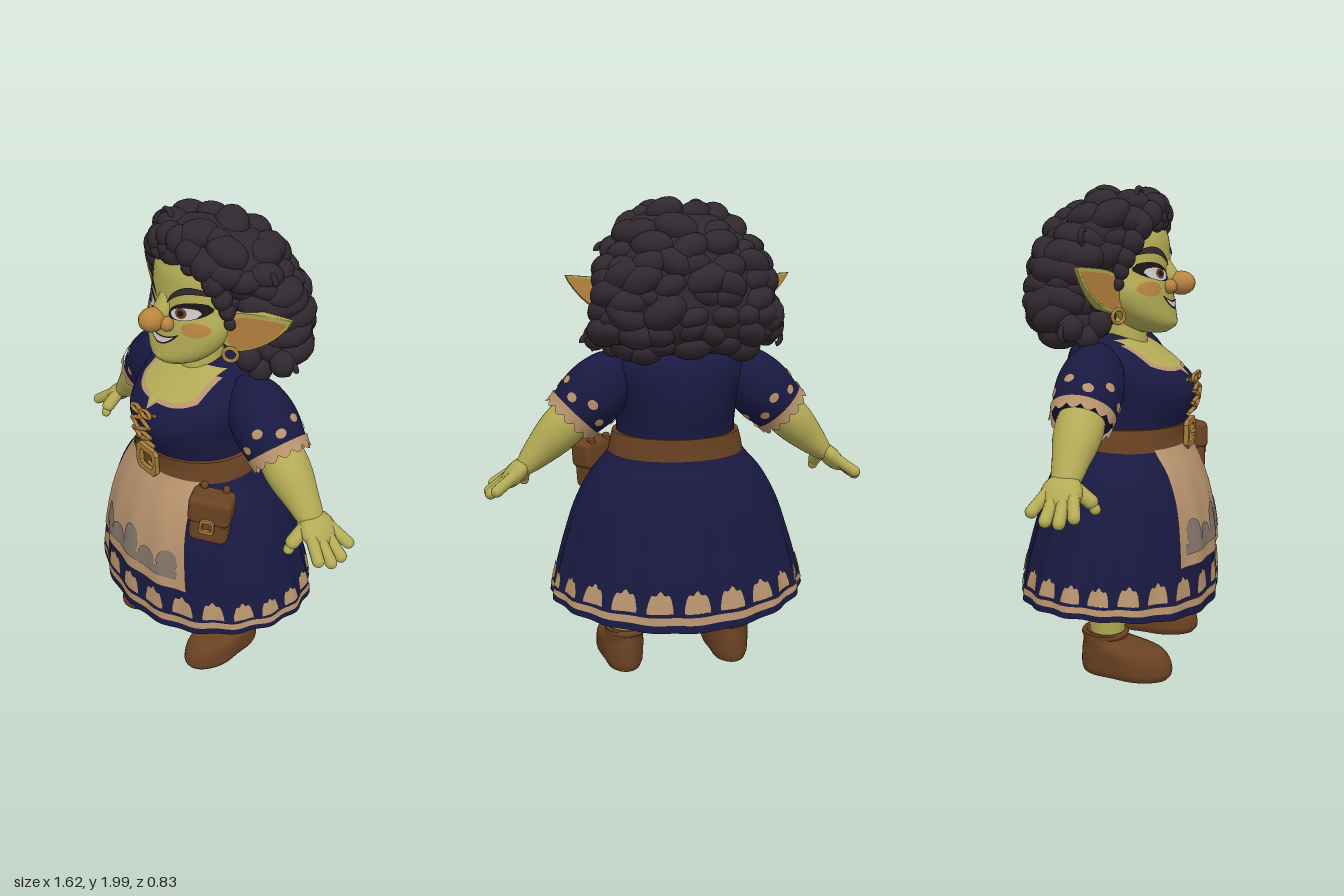
import * as THREE from 'three';
import { mergeVertices, mergeGeometries, toCreasedNormals } from 'three/addons/utils/BufferGeometryUtils.js';
import { RoundedBoxGeometry } from 'three/addons/geometries/RoundedBoxGeometry.js';

const mat = (name, color) => new THREE.MeshStandardMaterial({ name, color, side: THREE.DoubleSide });
const V = (x, y, z) => new THREE.Vector3(x, y, z);
const lerp = THREE.MathUtils.lerp;

// Surface with elliptical sections; each row is [y, half width, front z, back z]
function surface(rows, warp) {
  const spline = new THREE.CubicInterpolant(rows.map(r => r[0]), rows.flatMap(r => r.slice(1)), 3);
  const at = (a, y, off = 0) => {
    const [w, f, b] = spline.evaluate(y);
    const p = V(Math.sin(a) * (w + off), y, (f + b) / 2 + Math.cos(a) * ((f - b) / 2 + off));
    return warp ? warp(p, a) : p;
  };
  // the same surface addressed by x and y, front half only
  const front = (x, y, off) => at(Math.asin(THREE.MathUtils.clamp(x / spline.evaluate(y)[0], -1, 1)), y, off);
  return { at, front, y0: rows[0][0], y1: rows[rows.length - 1][0] };
}

// Bends a grid by fn(u in -1..1, v in 0..1)
function drape(fn, nu, nv) {
  const g = new THREE.PlaneGeometry(2, 1, nu, nv), p = g.attributes.position;
  for (let i = 0; i < p.count; i++) p.setXYZ(i, ...fn(p.getX(i), p.getY(i) + 0.5).toArray());
  g.deleteAttribute('uv');
  g.deleteAttribute('normal');
  return toCreasedNormals(mergeVertices(g, 1e-5), 0.9);
}

// Closed solid from a surface
function loft(s, nu = 40, nv = 20) {
  return drape((u, v) => {
    const j = Math.round(v * (nv + 2));
    const y = lerp(s.y0, s.y1, THREE.MathUtils.clamp((j - 1) / nv, 0, 1));
    if (j === 0 || j === nv + 2) return s.at(Math.PI / 2, y).add(s.at(-Math.PI / 2, y)).multiplyScalar(0.5);
    return s.at(u * Math.PI, y);
  }, nu, nv + 2);
}

// Thin painted patch between lo(u) and hi(u), centred on cx with half width hw(v)
const patch = (map, cx, hw, lo, hi, off, nu = 12, nv = 4) => drape((u, v) =>
  map(cx + u * (typeof hw === 'function' ? hw(v) : hw), lerp(lo(u), hi(u), v), off), nu, nv);
const arc = u => Math.sqrt(Math.max(0, 1 - u * u));
const oval = (map, cx, cy, rx, ry, off) =>
  patch(map, cx, rx, u => cy - ry * arc(u), u => cy + ry * arc(u), off, 14, 4);
const dome = (map, cx, y, hw, h, off) =>
  patch(map, cx, hw, () => y, u => y + h * (0.25 + 0.75 * arc(u)) * (1 - 0.1 * Math.cos(u * 9 + 3)), off, 14, 3);

function limb(a, b, r) {
  const d = b.clone().sub(a), g = new THREE.CapsuleGeometry(r, d.length(), 5, 12);
  g.applyQuaternion(new THREE.Quaternion().setFromUnitVectors(V(0, 1, 0), d.clone().normalize()));
  const m = a.clone().add(b).multiplyScalar(0.5);
  return g.translate(m.x, m.y, m.z);
}
const blob = (x, y, z, rx, ry = rx, rz = rx) => new THREE.SphereGeometry(1, 14, 10).scale(rx, ry, rz).translate(x, y, z);
const tube = (pts, r) => new THREE.TubeGeometry(new THREE.CatmullRomCurve3(pts), 14, r, 6);

export function createModel() {
  const skin = mat('skin', 0xb3ab55), navy = mat('dress cloth', 0x191942), tan = mat('linen', 0xb8936e),
    leather = mat('leather', 0x6a4222), hairMat = mat('hair', 0x30282f), gold = mat('gold', 0xa87c3c),
    blush = mat('blush', 0xb9843f), grey = mat('faded print', 0x84756a), white = mat('white', 0xd0ccc8),
    black = mat('dark line', 0x1c1518);
  const root = new THREE.Group();
  const add = (name, geo, m, parent = root) => {
    const mesh = new THREE.Mesh(geo, m);
    mesh.name = name;
    parent.add(mesh);
    return mesh;
  };

  // Skirt with folds and a hem that dips at front and back
  const skirt = surface([[0.35, 0.545, 0.41, -0.41], [0.45, 0.52, 0.4, -0.39], [0.6, 0.478, 0.383, -0.35],
    [0.75, 0.427, 0.355, -0.31], [0.87, 0.36, 0.315, -0.26], [0.95, 0.29, 0.28, -0.212], [1.0, 0.262, 0.265, -0.2]],
  (p, a) => {
    const fall = Math.max(0, 1 - (p.y - 0.35) / 0.25), k = 1 + 0.012 * Math.cos(a * 18) * Math.min(1, (1 - p.y) * 2.2);
    p.x *= k;
    p.z *= k;
    p.y -= (Math.cos(a) > 0 ? 0.075 : 0.055) * Math.cos(a) ** 2 * fall * fall;
    return p;
  });
  add('skirt', loft(skirt, 144, 26), navy);
  add('hemStripe', patch(skirt.at, 0, Math.PI, () => 0.373, () => 0.396, 0.004, 144, 1), tan);
  const hem = [];
  for (let i = 0; i < 22; i++) hem.push(dome(skirt.at, (i / 22) * Math.PI * 2, 0.407, 0.1, 0.066, 0.005));
  add('hemMotifs', mergeGeometries(hem), tan);

  // Apron with a faded print along its bottom
  add('apron', patch(skirt.front, 0, v => lerp(0.295, 0.215, v), u => 0.502 + 0.008 * u * u, () => 0.96, 0.013, 48, 20), tan);
  const print = [patch(skirt.front, 0, 0.25, () => 0.55, () => 0.59, 0.017, 40, 2)];
  for (const [x, h] of [[-0.19, 0.1], [-0.1, 0.06], [0, 0.12], [0.1, 0.06], [0.2, 0.09]])
    print.push(oval(skirt.front, x, 0.57 + h / 2, 0.046, h / 2 + 0.014, 0.018));
  add('apronPrint', mergeGeometries(print), grey);

  // Bodice, neckline and lacing
  const bodice = surface([[0.98, 0.255, 0.258, -0.2], [1.05, 0.25, 0.282, -0.205], [1.12, 0.255, 0.312, -0.22],
    [1.19, 0.27, 0.315, -0.226], [1.25, 0.285, 0.265, -0.222], [1.3, 0.29, 0.195, -0.212], [1.35, 0.26, 0.12, -0.19],
    [1.385, 0.17, 0.06, -0.15], [1.4, 0.09, 0.03, -0.1]]);
  add('bodice', loft(bodice, 48, 26), navy);
  const neckLow = u => 1.27 + 0.03 * u ** 4 - 0.03 * Math.max(0, 1 - Math.abs(u) * 7);
  add('necklineTrim', patch(bodice.front, 0, 0.176, u => neckLow(u) - 0.013, () => 1.365, 0.003, 40, 8), tan);
  add('chest', patch(bodice.front, 0, 0.152, neckLow, () => 1.384, 0.006, 40, 8), skin);
  add('neck', new THREE.CylinderGeometry(0.082, 0.098, 0.16, 28).translate(0, 1.4, 0.015), skin);
  const laces = [];
  for (let i = 0; i < 3; i++) for (const s of [-1, 1]) {
    const y = 1.08 + i * 0.048;
    laces.push(tube([0, 1, 2].map(k => bodice.front(s * (k - 1) * 0.057, y + k * 0.024, 0.01)), 0.009));
  }
  for (const s of [-1, 1]) laces.push(new THREE.TorusGeometry(0.022, 0.008, 6, 16).scale(1.3, 0.7, 1).translate(s * 0.032, 1.228, 0.318));
  add('lacing', mergeGeometries(laces), gold);

  // Belt, buckle and pouch
  add('belt', loft(surface([[0.95, 0.289, 0.291, -0.218], [0.995, 0.28, 0.285, -0.215], [1.04, 0.268, 0.289, -0.214]]), 48, 6), leather);
  const corner = (w, h) => [[-w, -h * 0.7], [-w * 0.75, -h], [w * 0.75, -h], [w, -h * 0.7], [w, h * 0.7], [w * 0.75, h], [-w * 0.75, h], [-w, h * 0.7]]
    .map(p => new THREE.Vector2(...p));
  const frame = new THREE.Shape(corner(0.064, 0.056));
  frame.holes.push(new THREE.Path(corner(0.045, 0.037).reverse()));
  const frameGeo = new THREE.ExtrudeGeometry(frame, { depth: 0.012, bevelSize: 0.004, bevelThickness: 0.005, bevelSegments: 2 });
  add('buckle', frameGeo, gold).position.set(0, 0.993, 0.288);
  add('bucklePin', limb(V(0.018, 0.99, 0.3), V(0.05, 0.99, 0.304), 0.007), gold);
  const pouch = new THREE.Group();
  pouch.name = 'pouch';
  pouch.position.set(0.325, 0.86, 0.222);
  pouch.rotation.set(0, 0.65, -0.08, 'YXZ');
  root.add(pouch);
  add('pouchBody', new RoundedBoxGeometry(0.16, 0.21, 0.1, 4, 0.03), leather, pouch);
  add('pouchFlap', new RoundedBoxGeometry(0.174, 0.12, 0.116, 4, 0.025).translate(0, 0.05, 0), leather, pouch);
  for (const x of [-0.045, 0.045]) add('pouchLoop', new RoundedBoxGeometry(0.028, 0.05, 0.03, 2, 0.01).translate(x, 0.105, -0.04), leather, pouch);
  add('pouchClasp', frameGeo.clone().scale(0.45, 0.55, 0.7), gold, pouch).position.set(0, -0.008, 0.057);

  // Head and nose
  const head = surface([[1.405, 0.045, 0.19, 0.07], [1.43, 0.105, 0.228, 0.02], [1.47, 0.158, 0.228, -0.01],
    [1.52, 0.192, 0.217, -0.05], [1.58, 0.205, 0.21, -0.08], [1.65, 0.19, 0.2, -0.1], [1.72, 0.178, 0.198, -0.1],
    [1.8, 0.165, 0.185, -0.1], [1.87, 0.12, 0.14, -0.08], [1.9, 0.05, 0.08, -0.02]]);
  add('head', loft(head, 48, 30), skin);
  add('noseBridge', limb(V(0, 1.69, 0.155), V(0, 1.625, 0.2), 0.042), skin);
  add('nose', mergeGeometries([blob(0, 1.604, 0.25, 0.048, 0.048, 0.058),
    blob(-0.044, 1.592, 0.215, 0.029), blob(0.044, 1.592, 0.215, 0.029)]), blush);

  // Smile
  add('mouthLine', patch(head.front, 0, 0.092, u => 1.5 + 0.056 * u * u, u => 1.533 + 0.027 * u * u, 0.003, 24, 4), black);
  add('teeth', patch(head.front, 0, 0.07, u => 1.507 + 0.034 * u * u, u => 1.529 + 0.015 * u * u, 0.005, 24, 4), white);
  add('chin', blob(0, 1.447, 0.19, 0.06, 0.032, 0.045), skin);

  for (const s of [-1, 1]) {
    // Eye, brow and cheek
    add('cheek', oval(head.front, s * 0.145, 1.588, 0.046, 0.028, 0.003), blush);
    add('eyeLid', patch(head.front, s * 0.108, 0.07, u => 1.642 - 0.022 * arc(u) + 0.016 * s * u,
      u => 1.65 + 0.038 * arc(u) + 0.018 * s * u, 0.003), black);
    add('eyeWhite', patch(head.front, s * 0.103, 0.052, u => 1.643 - 0.023 * arc(u) + 0.008 * s * u, u => 1.648 + 0.02 * arc(u) + 0.008 * s * u, 0.005), white);
    add('iris', oval(head.front, s * 0.092, 1.646, 0.022, 0.02, 0.007), leather);
    add('pupil', oval(head.front, s * 0.092, 1.646, 0.012, 0.012, 0.009), black);
    add('brow', patch(head.front, s * 0.1, 0.068, u => 1.72 + 0.022 * s * u - 0.026 * u * u,
      u => 1.724 + 0.022 * s * u - 0.026 * u * u + 0.023 * arc(u), 0.006, 16, 2), hairMat);

    // Pointed ear, thinning toward its tip, coloured on both faces
    const ear = new THREE.Group();
    ear.name = 'ear';
    ear.position.set(s * 0.17, 1.58, 0.025);
    ear.rotation.y = s * 0.22;
    root.add(ear);
    const leaf = (k, dx) => {
      const q = (x, y) => [s * (x * k + dx), y * k + 0.008];
      const sh = new THREE.Shape();
      sh.moveTo(...q(0, 0.03));
      sh.bezierCurveTo(...q(0.06, 0.085), ...q(0.15, 0.085), ...q(0.3, 0.1));
      sh.bezierCurveTo(...q(0.26, 0.02), ...q(0.16, -0.065), ...q(0.06, -0.09));
      sh.lineTo(...q(0, -0.07));
      return sh;
    };
    const shell = new THREE.ExtrudeGeometry(leaf(0.98, 0), { depth: 0.04, bevelSize: 0.003, bevelThickness: 0.008, bevelSegments: 3, curveSegments: 10 });
    const taper = (g, off) => {
      const p = g.attributes.position;
      for (let i = 0; i < p.count; i++) p.setZ(i, (p.getZ(i) - 0.02) * (1.2 - 3.2 * Math.abs(p.getX(i))) + off);
      g.computeVertexNormals();
      return g;
    };
    add('earShell', taper(shell, 0), skin, ear);
    add('earInside', taper(new THREE.ShapeGeometry(leaf(0.84, 0.028), 10).translate(0, 0, 0.048), 0.003), blush, ear);
    add('earBack', taper(new THREE.ShapeGeometry(leaf(0.92, 0.017), 10).translate(0, 0, -0.008), -0.003), blush, ear);
    add('earring', new THREE.TorusGeometry(0.027, 0.008, 8, 20).rotateY(s * 0.7).translate(s * 0.228, 1.487, 0.055), gold);

    // Arm: the local y axis runs up the arm to the shoulder
    const arm = new THREE.Group();
    arm.name = 'arm';
    arm.position.set(s * 0.445, 1.115, -0.025);
    arm.rotation.z = s * Math.PI / 4;
    root.add(arm);
    const round = rows => surface(rows.map(([y, r, z = r]) => [y, r, z, -z]));
    const sleeve = round([[0, 0.115], [0.05, 0.125], [0.12, 0.134], [0.2, 0.126], [0.28, 0.096], [0.34, 0.04]]);
    add('sleeve', loft(sleeve, 40, 14), navy, arm);
    add('cuff', patch(sleeve.at, 0, Math.PI, u => -0.004 - 0.02 * Math.abs(Math.sin(u * Math.PI * 7)), () => 0.03, 0.008, 112, 3), tan, arm);
    const dots = [];
    for (let i = 0; i < 10; i++) dots.push(oval(sleeve.at, i * Math.PI / 5, 0.066 + 0.036 * (i % 2), 0.17, 0.018, 0.004));
    add('sleeveMotifs', mergeGeometries(dots), tan, arm);
    add('forearm', loft(round([[-0.29, 0.036, 0.05], [-0.25, 0.05, 0.06], [-0.19, 0.066, 0.07], [-0.1, 0.085, 0.09], [-0.03, 0.09, 0.095], [0.04, 0.085]]), 28, 14), skin, arm);
    const hand = [blob(s * 0.008, -0.32, 0, 0.04, 0.08, 0.08)];
    [[0.045, 0.078, -0.425], [0.015, 0.028, -0.452], [-0.02, -0.025, -0.448], [-0.05, -0.085, -0.415]].forEach(([z0, z1, y]) =>
      hand.push(limb(V(s * 0.012, -0.32, z0), V(s * 0.028, y, z1), 0.024)));
    hand.push(limb(V(0, -0.285, 0.035), V(s * -0.04, -0.32, 0.1), 0.028), limb(V(s * -0.04, -0.32, 0.1), V(s * -0.062, -0.338, 0.116), 0.021));
    add('hand', mergeGeometries(hand), skin, arm);

    // Leg, and boot with a narrow instep
    add('leg', new THREE.CylinderGeometry(0.095, 0.072, 0.32, 24).translate(s * 0.222, 0.31, 0.005), skin);
    const boot = add('boot', loft(surface([[0, 0.09, 0.272, -0.094], [0.02, 0.1, 0.287, -0.1], [0.06, 0.102, 0.287, -0.101],
      [0.095, 0.1, 0.272, -0.099], [0.12, 0.095, 0.238, -0.096], [0.137, 0.088, 0.155, -0.093], [0.15, 0.083, 0.094, -0.092], [0.18, 0.083, 0.085, -0.095]],
    p => {
      p.x *= 1 - 0.16 * Math.exp(-(((p.z - 0.05) / 0.07) ** 2)) * Math.max(0, 1 - p.y / 0.12);
      return p;
    }), 36, 22), leather);
    boot.position.x = s * 0.237;
    boot.rotation.y = s * 0.04;
    add('bootCollar', new THREE.TorusGeometry(0.08, 0.012, 8, 28).rotateX(Math.PI / 2).scale(1, 1.2, 1.08).translate(s * 0.228, 0.17, -0.003), leather);
  }

  // Curly hair: a core mass covered in uneven, overlapping curls
  let seed = 7;
  const rnd = () => (seed = (seed * 16807) % 2147483647) / 2147483647;
  const mass = surface([[1.385, 0.2, -0.12, -0.23], [1.45, 0.335, -0.03, -0.315], [1.55, 0.355, -0.01, -0.345],
    [1.65, 0.345, 0.04, -0.338], [1.75, 0.315, 0.09, -0.308], [1.85, 0.255, 0.155, -0.245], [1.92, 0.16, 0.135, -0.15], [1.95, 0.07, 0.09, -0.03]]);
  add('hairMass', loft(mass, 36, 16), hairMat);
  const lumps = [];
  [13, 16, 17, 17, 16, 15, 13, 10, 6].forEach((count, k) => {
    for (let i = 0; i < count; i++) {
      const a = (i + (k % 2) / 2 + rnd() * 0.6) / count * Math.PI * 2;
      const p = mass.at(a, 1.42 + k * 0.062 + (rnd() - 0.5) * 0.035, -0.034);
      const r = 0.05 + rnd() * 0.028;
      lumps.push(new THREE.SphereGeometry(1, 14, 10).scale(r * 1.25, r * 0.85, r).rotateZ((rnd() - 0.5) * 1.2).rotateY(a).translate(p.x, p.y, p.z));
    }
  });
  // Hairline curls framing the face
  for (const s of [-1, 1]) for (const [x, y, z, r] of [[0.03, 1.9, 0.14, 0.052], [0.09, 1.87, 0.14, 0.052], [0.145, 1.83, 0.115, 0.054],
    [0.178, 1.77, 0.095, 0.048], [0.2, 1.71, 0.075, 0.04], [0.212, 1.66, 0.06, 0.032], [0.218, 1.61, 0.05, 0.024], [0.25, 1.55, -0.02, 0.045],
    [0.245, 1.46, -0.02, 0.052], [0.27, 1.41, -0.06, 0.05], [0.35, 1.45, -0.1, 0.05]]) lumps.push(blob(s * x, y, z, r, r * 1.1, r));
  lumps.push(blob(-0.07, 1.832, 0.162, 0.036, 0.03, 0.03), blob(0.1, 1.82, 0.15, 0.034, 0.03, 0.03), blob(-0.02, 1.86, 0.165, 0.04, 0.03, 0.03));
  add('hairCurls', mergeGeometries(lumps), hairMat);
  const wisps = [[-0.1, 1.945, 0.1], [-0.31, 1.79, -0.06], [0.31, 1.78, -0.06], [-0.38, 1.43, -0.12], [0.38, 1.43, -0.12]];
  add('hairWisps', mergeGeometries(wisps.map(([x, y, z]) => new THREE.TorusGeometry(0.028, 0.011, 6, 14, 4.4).translate(x, y, z))), hairMat);

  return root;
}
